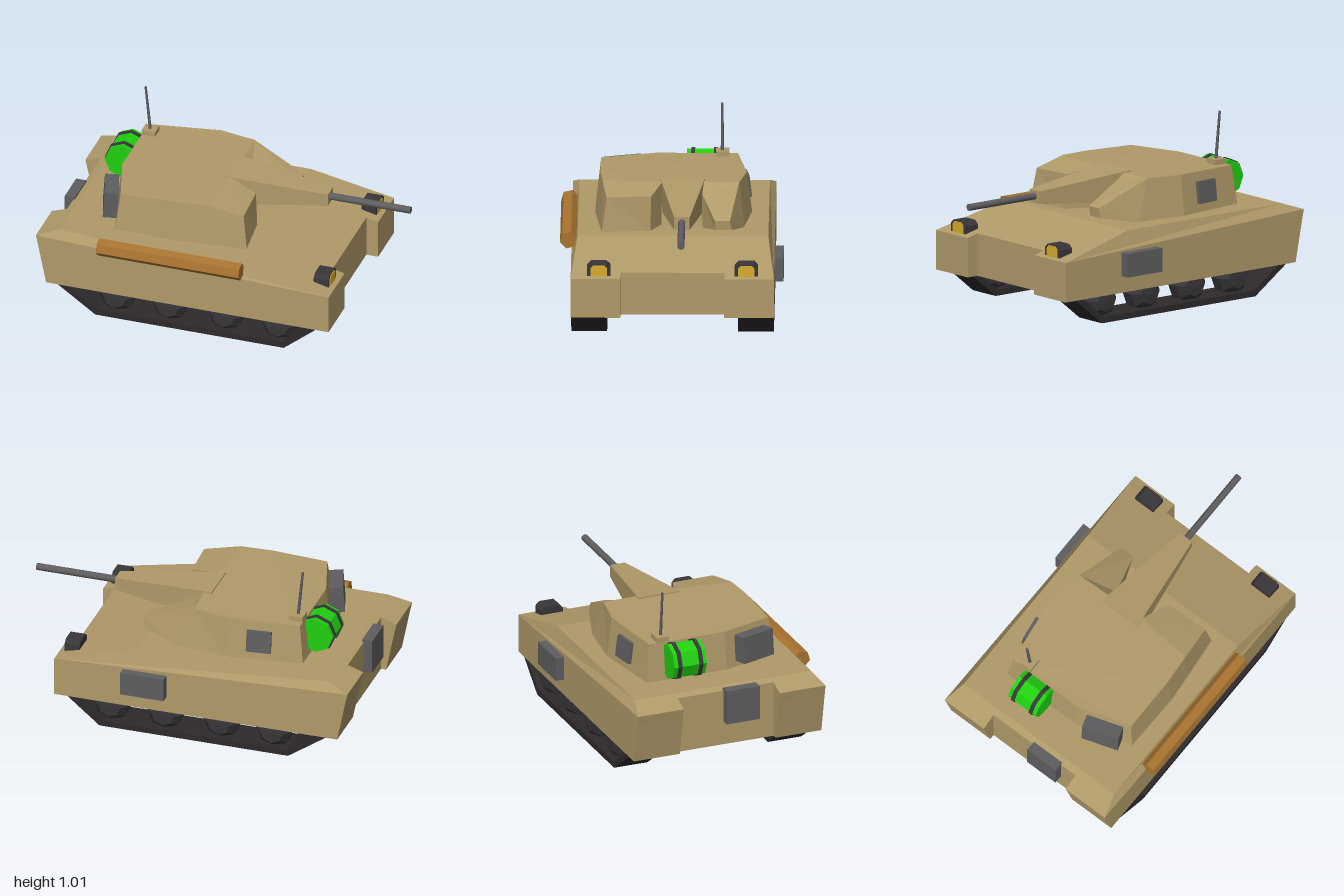
import * as THREE from 'three';

const mat = (name, color) => {
  const m = new THREE.MeshStandardMaterial({ color });
  m.name = name;
  return m;
};

// Flat-faced geometry from polygons, each fanned from its first corner
function faces(polys) {
  const pos = [];
  for (const p of polys)
    for (let i = 1; i < p.length - 1; i++) pos.push(...p[0], ...p[i], ...p[i + 1]);
  const g = new THREE.BufferGeometry();
  g.setAttribute('position', new THREE.Float32BufferAttribute(pos, 3));
  g.computeVertexNormals();
  return g;
}

// Solid between two matching rings; ring a is counter-clockwise seen from its own end
function loft(a, b) {
  const sides = a.map((p, i) => {
    const j = (i + 1) % a.length;
    return [p, b[i], b[j], a[j]];
  });
  const back = [b[0], ...b.slice(1).reverse()];
  return faces([a, back, ...sides]);
}

function flat(g) {
  const f = g.index ? g.toNonIndexed() : g;
  f.computeVertexNormals();
  return f;
}

const extrude = (pts, depth) => new THREE.ExtrudeGeometry(
  new THREE.Shape(pts.map(p => new THREE.Vector2(...p))), { depth, bevelEnabled: false });

export function createModel() {
  const tan = mat('sand paint', 0xb09a69);
  const grey = mat('grey metal', 0x5e5e60);
  const dark = mat('dark metal', 0x393639);
  const rubber = mat('track rubber', 0x2e2a2b);
  const green = mat('green drum', 0x20d010);
  const yellow = mat('lamp yellow', 0xd9ac2c);
  const wood = mat('wood', 0xa87430);

  const root = new THREE.Group();
  root.name = 'tank';
  const add = (name, geo, material, x = 0, y = 0, z = 0, parent = root) => {
    const m = new THREE.Mesh(geo, material);
    m.name = name;
    m.position.set(x, y, z);
    parent.add(m);
    return m;
  };
  const box = (name, material, size, at) => add(name, new THREE.BoxGeometry(...size), material, ...at);

  // Hull: notched centre plus two side sponsons with a bevelled upper edge
  const hull = new THREE.Group();
  hull.name = 'hull';
  hull.position.z = -0.007;
  root.add(hull);
  const mid = [[0.655, 0.397], [0.25, 0.495], [-0.87, 0.495], [-0.91, 0.481], [-0.91, 0.155], [0.655, 0.155]];
  const side = [[0.725, 0.38], [0.25, 0.495], [-0.87, 0.495], [-1, 0.45], [-0.985, 0.38], [-0.94, 0.155], [0.725, 0.155]];
  const at = (profile, z) => profile.map(p => [...p, z]);
  const outer = s => side.map(([x, y]) => [x, y, s * (y > 0.48 ? 0.532 : 0.567)]);
  add('hullCentre', loft(at(mid, 0.29), at(mid, -0.29)), tan, 0, 0, 0, hull);
  add('leftSponson', loft(outer(1), at(side, 0.29)), tan, 0, 0, 0, hull);
  add('rightSponson', loft(at(side, -0.29), outer(-1)), tan, 0, 0, 0, hull);

  // Tracks and road wheels
  const band = [[-0.88, 0.16], [-0.65, 0], [0.46, 0], [0.655, 0.16], [0.6, 0.16], [0.45, 0.035], [-0.64, 0.035], [-0.82, 0.16]];
  const wheelProfile = [[0, -0.085], [0.065, -0.08], [0.105, -0.035], [0.105, 0.035], [0.065, 0.08], [0, 0.085]]
    .map(p => new THREE.Vector2(...p));
  for (const s of [1, -1]) {
    const z = s * 0.465;
    add('track', extrude(band, 0.2), rubber, 0, 0, z - 0.1, hull);
    for (const x of [-0.545, -0.235, 0.095, 0.41]) {
      const w = flat(new THREE.LatheGeometry(wheelProfile, 8));
      w.rotateX(Math.PI / 2);
      add('roadWheel', w, dark, x, 0.118, z, hull);
    }
  }

  // Headlights: chamfered housing with a lamp plate on the front
  const lampShape = (w, h, c) => [[-w, 0], [w, 0], [w, h - c], [w - c, h], [c - w, h], [-w, h - c]];
  for (const z of [0.403, -0.42]) {
    const housing = extrude(lampShape(0.065, 0.085, 0.022), 0.088);
    housing.rotateY(Math.PI / 2);
    add('headlightHousing', housing, dark, 0.606, 0.37, z);
    const lamp = extrude(lampShape(0.046, 0.077, 0.016), 0.006);
    lamp.rotateY(Math.PI / 2);
    add('headlightLamp', lamp, yellow, 0.692, 0.372, z);
  }

  // Turret: base corner and roof corner pairs, running round from the rear right
  const ring = [
    [[-0.675, 0.49, -0.385], [-0.65, 0.715, -0.362]],
    [[-0.24, 0.49, -0.445], [-0.24, 0.724, -0.415]],
    [[0.06, 0.49, -0.405], [-0.03, 0.726, -0.375]],
    [[0.275, 0.535, -0.335], [0.28, 0.59, -0.325]],
    [[0.275, 0.535, -0.245], [0.28, 0.59, -0.24]],
    [[0.07, 0.49, -0.17], [0.03, 0.68, -0.165]],
    [[0.03, 0.49, 0.06], [-0.02, 0.728, 0.055]],
    [[0.155, 0.49, 0.12], [0.145, 0.692, 0.115]],
    [[0.185, 0.49, 0.39], [0.158, 0.688, 0.365]],
    [[-0.05, 0.49, 0.415], [-0.05, 0.73, 0.388]],
    [[-0.23, 0.49, 0.432], [-0.23, 0.727, 0.402]],
    [[-0.58, 0.49, 0.425], [-0.555, 0.715, 0.4]],
    [[-0.675, 0.49, 0.1], [-0.65, 0.715, 0.095]],
  ];
  const walls = ring.map(([b, t], i) => {
    const [nb, nt] = ring[(i + 1) % ring.length];
    return [b, t, nt, nb];
  });
  const roof = [[0, 12, 11, 10, 9, 2, 1], [6, 5, 2, 9, 8, 7], [2, 5, 4, 3]]
    .map(ids => ids.map(i => ring[i][1]));
  const hoodUnderside = [2, 3, 4, 5].map(i => ring[i][0]);
  add('turret', faces([...walls, ...roof, hoodUnderside]), tan);

  // Gun mantlet tapering to the barrel
  const rect = (x, y0, y1, z0, z1) => [[x, y0, z1], [x, y0, z0], [x, y1, z0], [x, y1, z1]];
  add('gunMantlet', loft(rect(0.525, 0.61, 0.682, -0.103, -0.015), rect(-0.07, 0.555, 0.736, -0.183, 0.066)), tan);
  const barrel = new THREE.CylinderGeometry(0.02, 0.02, 0.49, 12);
  barrel.rotateZ(Math.PI / 2);
  add('gunBarrel', barrel, grey, 0.755, 0.65, -0.058);

  // Antenna
  box('antennaBase', tan, [0.08, 0.04, 0.075], [-0.61, 0.725, -0.277]);
  const rod = add('antennaRod', new THREE.CylinderGeometry(0.007, 0.009, 0.272, 8), grey, -0.624, 0.875, -0.275);
  rod.rotation.z = 0.1;

  // Drum strapped behind the turret
  const drum = (name, r, len, z, m) => {
    const g = flat(new THREE.CylinderGeometry(r, r, len, 8));
    g.rotateX(Math.PI / 2);
    add(name, g, m, -0.708, 0.62, z);
  };
  drum('drum', 0.104, 0.195, -0.175, green);
  for (const z of [-0.238, -0.112]) drum('drumStrap', 0.111, 0.022, z, dark);

  // Stowage boxes and armour plate
  box('rearBox', grey, [0.06, 0.2, 0.2], [-0.93, 0.395, 0.08]);
  box('sideBox', grey, [0.255, 0.135, 0.06], [0.193, 0.317, -0.595]);
  const turretBox = box('turretBox', grey, [0.08, 0.155, 0.215], [-0.655, 0.61, 0.273]);
  turretBox.rotation.set(0, 0.32, -0.07);
  const plate = box('turretPlate', grey, [0.14, 0.125, 0.03], [-0.425, 0.605, -0.412]);
  plate.rotation.set(0.12, 0.14, 0);

  // Log carried on the left side
  const log = flat(new THREE.CylinderGeometry(0.05, 0.05, 0.84, 6));
  log.rotateZ(Math.PI / 2);
  const beam = add('log', log, wood, -0.205, 0.457, 0.575);
  beam.rotation.x = 0.25;

  return root;
}
